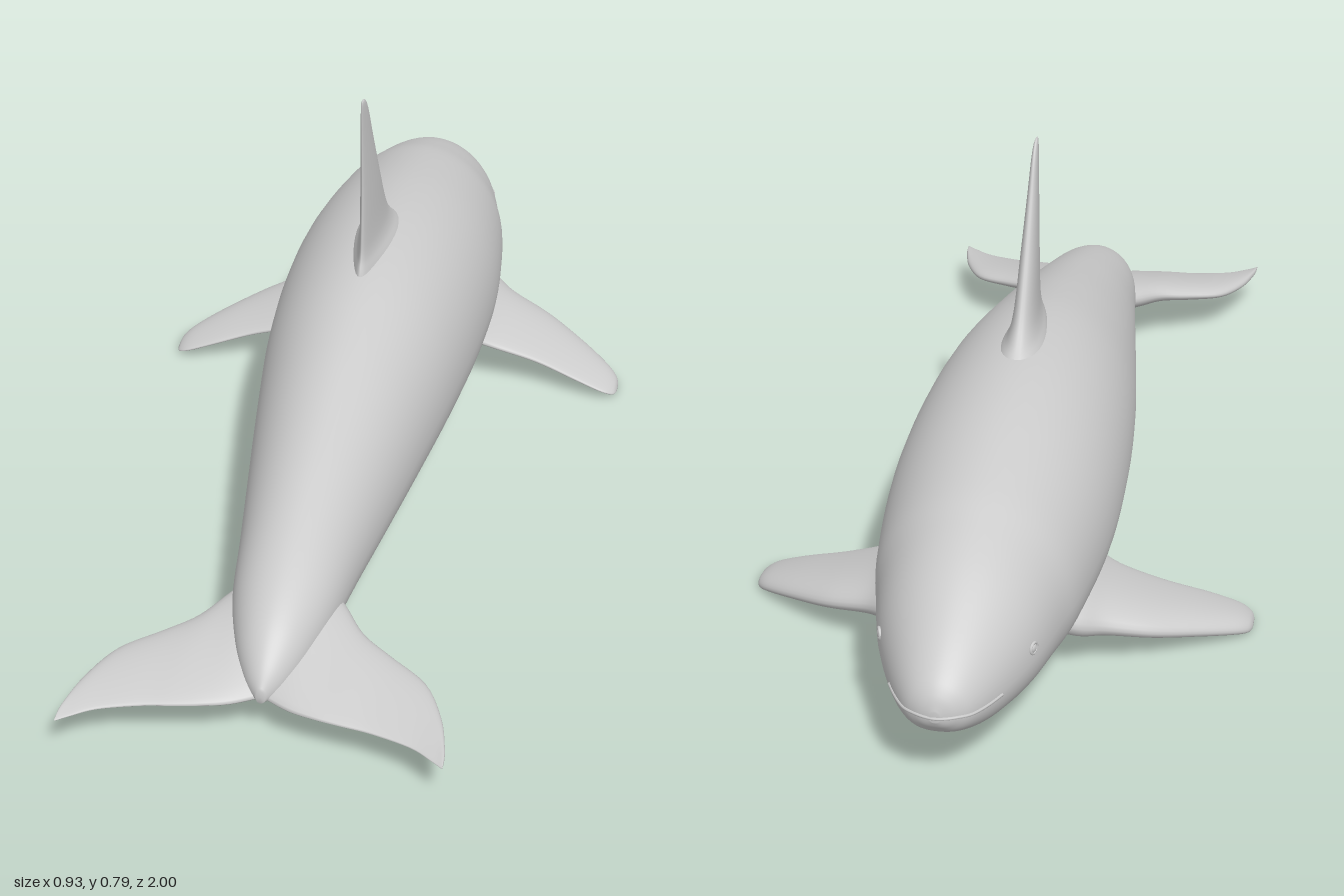
import * as THREE from 'three';

const material = new THREE.MeshStandardMaterial({ color: 0xcccccc, roughness: 0.8 });

// Smooth interpolation through rows of numbers, t in 0..1
function sampleRow(rows, t) {
  const f = t * (rows.length - 1);
  const i = Math.min(Math.floor(f), rows.length - 2);
  const u = f - i;
  const p1 = rows[i], p2 = rows[i + 1];
  const p0 = rows[Math.max(i - 1, 0)], p3 = rows[Math.min(i + 2, rows.length - 1)];
  return p1.map((b, k) => {
    const a = p0[k], c = p2[k], d = p3[k];
    return b + 0.5 * u * (c - a + u * (2 * a - 5 * b + 4 * c - d + u * (3 * (b - c) + d - a)));
  });
}

// Skin a list of closed rings, close both ends and face outwards
function loft(rings) {
  const n = rings[0].length, pos = [], idx = [];
  rings.forEach(r => r.forEach(p => pos.push(p.x, p.y, p.z)));
  for (let i = 0; i < rings.length - 1; i++) {
    for (let j = 0; j < n; j++) {
      const k = (j + 1) % n;
      const a = i * n + j, b = i * n + k, c = a + n, d = b + n;
      idx.push(a, b, c, b, d, c);
    }
  }
  [0, rings.length - 1].forEach((r, end) => {
    const centre = new THREE.Vector3();
    rings[r].forEach(p => centre.addScaledVector(p, 1 / n));
    const c = pos.length / 3;
    pos.push(centre.x, centre.y, centre.z);
    for (let j = 0; j < n; j++) {
      const a = r * n + j, b = r * n + (j + 1) % n;
      if (end) idx.push(c, a, b); else idx.push(c, b, a);
    }
  });
  // Signed volume tells whether the winding must be reversed
  let volume = 0;
  const v = i => new THREE.Vector3().fromArray(pos, i * 3);
  for (let i = 0; i < idx.length; i += 3) volume += v(idx[i]).dot(v(idx[i + 1]).cross(v(idx[i + 2])));
  if (volume < 0) idx.reverse();
  const g = new THREE.BufferGeometry();
  g.setAttribute('position', new THREE.Float32BufferAttribute(pos, 3));
  g.setIndex(idx);
  g.computeVertexNormals();
  return g;
}

// Body stations, nose to tail: z, top, bottom, half width
const BODY = [
  [-1.0, 0.185, 0.165, 0.008], [-0.99, 0.212, 0.148, 0.036], [-0.965, 0.24, 0.125, 0.064],
  [-0.9, 0.286, 0.095, 0.1], [-0.8, 0.342, 0.07, 0.14], [-0.7, 0.38, 0.055, 0.165],
  [-0.6, 0.408, 0.045, 0.187], [-0.4, 0.442, 0.035, 0.207], [-0.2, 0.455, 0.04, 0.206],
  [0, 0.442, 0.048, 0.191], [0.2, 0.4, 0.053, 0.165], [0.4, 0.345, 0.06, 0.136],
  [0.55, 0.3, 0.068, 0.114], [0.7, 0.248, 0.078, 0.093], [0.8, 0.2, 0.08, 0.065],
  [0.86, 0.15, 0.08, 0.035], [0.89, 0.11, 0.085, 0.008]
];

function bodyPoint(t, a) {
  const [z, top, bottom, w] = sampleRow(BODY, t);
  const mid = bottom + 0.42 * (top - bottom);
  const c = Math.cos(a), s = Math.sin(a);
  const x = w * Math.sign(c) * Math.pow(Math.abs(c), s < 0 ? 0.8 : 1.05);
  return new THREE.Vector3(x, mid + s * (s > 0 ? top - mid : mid - bottom), z);
}

// Fin stations, root to tip: span, leading z, trailing z, leading height, trailing height, half thickness
function fin(rows, place, steps = 40, sides = 32) {
  const rings = [];
  for (let i = 0; i <= steps; i++) {
    const [span, lead, trail, hLead, hTrail, thick] = sampleRow(rows, i / steps);
    const ring = [];
    for (let j = 0; j < sides; j++) {
      const a = j / sides * Math.PI * 2;
      const u = 0.5 - 0.5 * Math.cos(a);
      const h = hLead + (hTrail - hLead) * u + thick * Math.sin(a) * (0.75 + 0.3 * Math.cos(a));
      ring.push(place(span, h, lead + (trail - lead) * u));
    }
    rings.push(ring);
  }
  return loft(rings);
}

const DORSAL = [
  [0.38, -0.3, 0.04, 0, 0, 0.085], [0.44, -0.265, 0.018, 0, 0, 0.054],
  [0.47, -0.23, 0.004, 0, 0, 0.034], [0.51, -0.192, -0.002, 0, 0, 0.025],
  [0.6, -0.137, -0.006, 0, 0, 0.019], [0.7, -0.083, -0.003, 0, 0, 0.012],
  [0.76, -0.053, 0, 0, 0, 0.008], [0.787, -0.034, 0, 0, 0, 0.005], [0.795, -0.02, -0.005, 0, 0, 0.002]
];
const FLIPPER = [
  [0.1, -0.62, -0.32, 0.14, 0.14, 0.06], [0.17, -0.605, -0.335, 0.115, 0.115, 0.052],
  [0.22, -0.573, -0.346, 0.097, 0.095, 0.039], [0.3, -0.537, -0.348, 0.075, 0.072, 0.03],
  [0.38, -0.482, -0.335, 0.05, 0.047, 0.024], [0.435, -0.437, -0.33, 0.03, 0.028, 0.019],
  [0.459, -0.41, -0.34, 0.019, 0.018, 0.013], [0.466, -0.39, -0.358, 0.015, 0.014, 0.004]
];
const FLUKE = [
  [0, 0.6, 0.878, 0.16, 0.09, 0.05], [0.05, 0.615, 0.905, 0.155, 0.088, 0.045],
  [0.1, 0.66, 0.92, 0.14, 0.088, 0.034], [0.145, 0.72, 0.928, 0.126, 0.087, 0.026],
  [0.2, 0.757, 0.936, 0.113, 0.085, 0.021], [0.27, 0.805, 0.957, 0.1, 0.083, 0.016],
  [0.31, 0.88, 0.983, 0.091, 0.082, 0.011], [0.328, 0.95, 0.997, 0.086, 0.082, 0.007],
  [0.332, 0.98, 1.0, 0.084, 0.083, 0.002]
];

export function createModel() {
  const model = new THREE.Group();
  model.name = 'whale';
  const add = (name, geometry) => {
    const mesh = new THREE.Mesh(geometry, material);
    mesh.name = name;
    model.add(mesh);
    return mesh;
  };

  // Body
  const rings = [];
  for (let i = 0; i <= 96; i++) {
    rings.push(Array.from({ length: 56 }, (_, j) => bodyPoint(i / 96, j / 56 * Math.PI * 2)));
  }
  add('body', loft(rings));

  // Upright fin on the back
  add('dorsalFin', fin(DORSAL, (s, h, z) => new THREE.Vector3(h, s, z)));

  // Paired flippers, tail flukes and eyes
  for (const [side, label] of [[1, 'left'], [-1, 'right']].map(([m, l]) => [-m, l])) {
    const place = (s, h, z) => new THREE.Vector3(side * s, h, z);
    add(label + 'Flipper', fin(FLIPPER, place));
    add(label + 'Fluke', fin(FLUKE, place));

    const spot = bodyPoint(3.85 / (BODY.length - 1), 0.16);
    const eye = new THREE.Group();
    eye.name = label + 'Eye';
    const lid = new THREE.Mesh(new THREE.TorusGeometry(0.01, 0.003, 8, 20), material);
    lid.name = 'eyelid';
    const ball = new THREE.Mesh(new THREE.SphereGeometry(0.008, 16, 10), material);
    ball.name = 'eyeball';
    ball.scale.z = 0.5;
    eye.add(lid, ball);
    eye.position.set(side * spot.x, spot.y, spot.z);
    eye.rotation.y = side * (Math.PI / 2 + 0.35);
    model.add(eye);
  }

  // Lip line running around the nose
  const lip = [];
  for (let i = -8; i <= 8; i++) {
    const p = bodyPoint(Math.abs(i) / 8 * 2.9 / (BODY.length - 1), -0.05);
    lip.push(new THREE.Vector3(i === 0 ? 0 : Math.sign(i) * p.x, p.y, p.z));
  }
  add('mouth', new THREE.TubeGeometry(new THREE.CatmullRomCurve3(lip), 60, 0.003, 6));

  return model;
}
